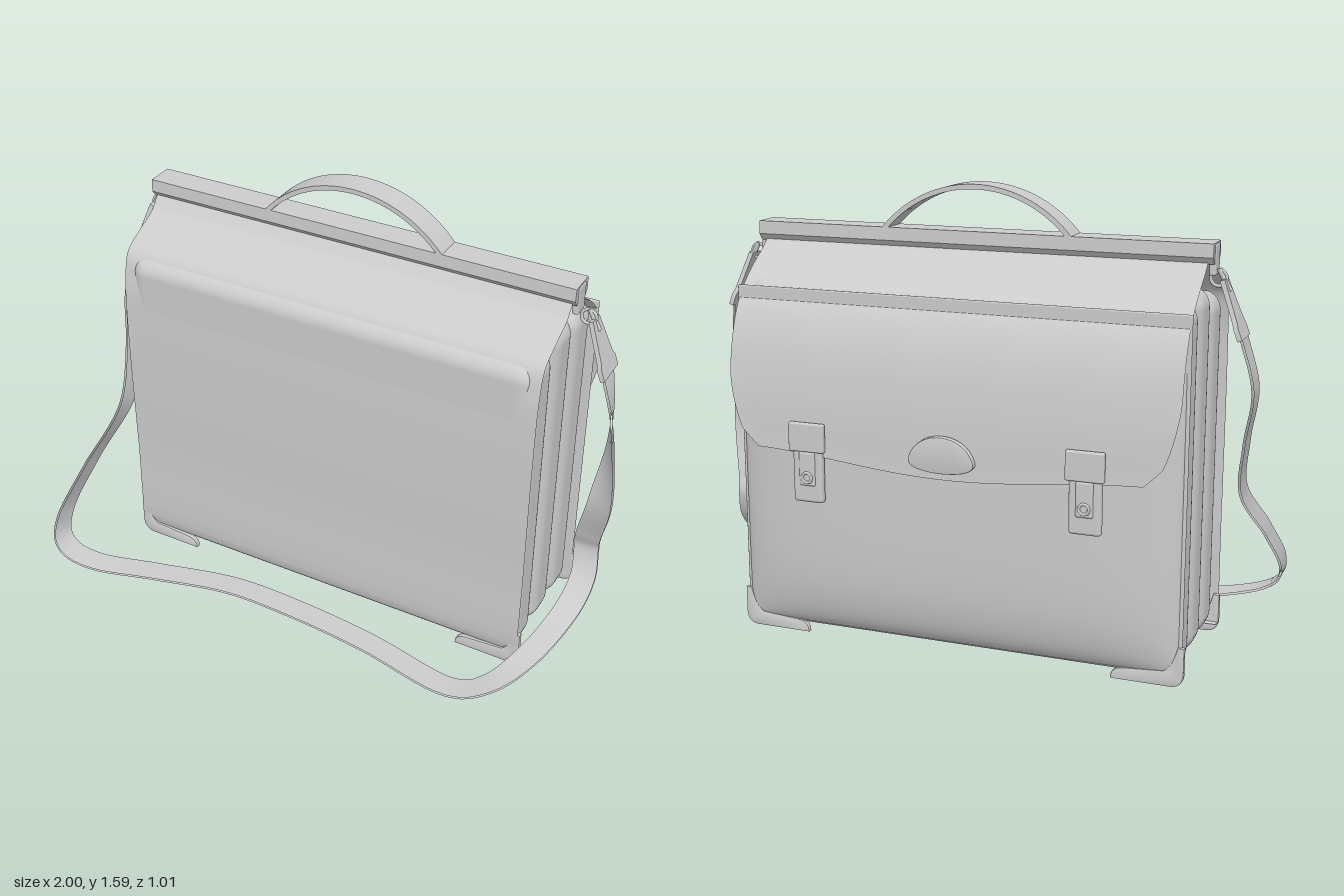
import * as THREE from 'three';
import { toCreasedNormals } from 'three/addons/utils/BufferGeometryUtils.js';
import { RoundedBoxGeometry } from 'three/addons/geometries/RoundedBoxGeometry.js';
import { ParametricGeometry } from 'three/addons/geometries/ParametricGeometry.js';

const V = (x, y, z) => new THREE.Vector3(x, y, z);

export function createModel() {
  const model = new THREE.Group();
  const mat = new THREE.MeshStandardMaterial({ color: 0xcccccc });
  const sheetMat = new THREE.MeshStandardMaterial({ color: 0xcccccc, side: THREE.DoubleSide });
  const caseGroup = new THREE.Group();
  caseGroup.name = 'case';
  caseGroup.position.x = -0.012;
  model.add(caseGroup);

  const add = (name, geo, x = 0, y = 0, z = 0, parent = caseGroup) => {
    const m = new THREE.Mesh(geo, mat);
    m.name = name;
    m.position.set(x, y, z);
    parent.add(m);
    return m;
  };
  // Thin surface from a rule (u, v) -> [x, y, z]
  const sheet = (name, rule, nu, nv, parent = caseGroup) => {
    const g = new ParametricGeometry((u, v, t) => t.set(...rule(u, v)), nu, nv);
    add(name, g, 0, 0, 0, parent).material = sheetMat;
  };
  const profile = (pts) => new THREE.CatmullRomCurve3(pts.map(([z, y]) => V(0, y, z)), false, 'centripetal');
  const extrude = (shape, depth, bevel = 0) => toCreasedNormals(new THREE.ExtrudeGeometry(shape, {
    depth, curveSegments: 24, bevelEnabled: bevel > 0,
    bevelSize: bevel, bevelThickness: bevel, bevelSegments: 2,
  }), 0.6);

  // Accordion compartments
  [[0.045, 1.235], [-0.12, 1.275], [-0.285, 1.255]].forEach(([z, top]) =>
    add('compartment', new RoundedBoxGeometry(1.56, top - 0.03, 0.185, 5, 0.065), 0, (top + 0.03) / 2, z));

  // Plain front panel running up to the top bar
  const front = profile([[0.115, 0.03], [0.137, 0.06], [0.14, 0.4], [0.14, 0.95], [0.128, 1.14],
    [0.1, 1.235], [0.02, 1.285], [-0.06, 1.325], [-0.1, 1.37]]);
  sheet('frontPanel', (u, v) => {
    const p = front.getPoint(v);
    return [(u - 0.5) * 1.595, p.y, p.z];
  }, 2, 48);

  // Back panel with padded pocket
  add('backPanel', new RoundedBoxGeometry(1.59, 1.2, 0.012, 2, 0.005), 0, 0.635, -0.378);
  const swell = (t) => Math.pow(Math.max(0, 1 - t ** 4), 0.6);
  sheet('backPocket', (u, v) => {
    const a = Math.sin((u - 0.5) * Math.PI), b = Math.sin((v - 0.5) * Math.PI);
    return [a * 0.785, 0.57 + b * 0.53, -0.38 - 0.09 * swell(a) * swell(b)];
  }, 40, 32);

  // Flap, tapered with a dipping lower edge
  const flap = profile([[-0.17, 1.375], [-0.2, 1.345], [-0.3, 1.275], [-0.385, 1.19], [-0.44, 1.07],
    [-0.472, 0.9], [-0.485, 0.7]]);
  sheet('flap', (u, v) => {
    const p = flap.getPoint(v), s = 2 * u - 1;
    const low = Math.max(0, (v - 0.75) / 0.25);
    const dip = 0.05 * (0.5 + 0.5 * Math.cos(Math.PI * s)) - 0.06 * Math.max(0, Math.abs(s) - 0.92) / 0.08;
    return [s * (0.79 - 0.05 * low * low), p.y - low * dip, p.z];
  }, 48, 40);

  // Clasps
  for (const x of [-0.49, 0.49]) {
    const clasp = new THREE.Group();
    clasp.name = 'clasp';
    clasp.position.x = x;
    caseGroup.add(clasp);
    add('claspPlate', new RoundedBoxGeometry(0.11, 0.22, 0.03, 3, 0.012), 0, 0.63, -0.48, clasp);
    add('claspTongue', new RoundedBoxGeometry(0.13, 0.1, 0.022, 2, 0.006), 0, 0.75, -0.493, clasp);
    add('claspLatch', new RoundedBoxGeometry(0.06, 0.12, 0.02, 3, 0.008), 0, 0.64, -0.49, clasp);
    add('lockRing', new THREE.TorusGeometry(0.017, 0.005, 8, 20), 0, 0.61, -0.5, clasp);
  }

  // Half-oval badge on the flap
  const badge = new THREE.Shape();
  badge.moveTo(-0.11, 0.02);
  badge.bezierCurveTo(-0.08, 0.12, 0.08, 0.12, 0.11, 0.02);
  badge.bezierCurveTo(0.12, -0.01, 0.05, -0.02, 0, -0.02);
  badge.bezierCurveTo(-0.05, -0.02, -0.12, -0.01, -0.11, 0.02);
  add('badge', extrude(badge, 0.015, 0.005), 0, 0.7, -0.5);

  // Corner guards
  const guard = new THREE.Shape();
  guard.moveTo(0.56, 0.004);
  guard.lineTo(0.755, 0.004);
  guard.quadraticCurveTo(0.8, 0.004, 0.8, 0.05);
  guard.lineTo(0.8, 0.135);
  guard.lineTo(0.785, 0.135);
  guard.quadraticCurveTo(0.765, 0.06, 0.735, 0.05);
  guard.lineTo(0.6, 0.04);
  guard.quadraticCurveTo(0.56, 0.035, 0.56, 0.004);
  for (const z of [0.126, -0.388]) for (const flip of [false, true]) {
    const g = add('cornerGuard', extrude(guard, 0.012, 0.004), 0, 0, z + (flip ? 0.012 : 0));
    if (flip) g.rotation.y = Math.PI;
  }

  // Top bar with end caps
  const bar = new THREE.Shape([[-0.05, 1.43], [-0.052, 1.385], [-0.035, 1.362], [0.035, 1.362], [0.052, 1.385], [0.05, 1.43]]
    .map(([a, b]) => new THREE.Vector2(a, b)));
  const barMesh = add('topBar', extrude(bar, 1.62), -0.81, 0, -0.14);
  barMesh.rotation.y = Math.PI / 2;
  for (const s of [-1, 1]) add('barEnd', new RoundedBoxGeometry(0.022, 0.1, 0.06, 2, 0.006), s * 0.803, 1.375, -0.14);

  // Arched carrying handle
  const R = 0.441, cy = 1.146, a = 0.69;
  const arch = new THREE.Shape();
  arch.absarc(0, cy, R, a, Math.PI - a, false);
  arch.absarc(0, cy, R - 0.017, Math.PI - a, a, true);
  add('handle', extrude(arch, 0.1), 0, 0, -0.19);

  // Strap clips: hook ring and leather tab on each end
  const tab = new THREE.Shape([[-0.028, 0.2], [0.028, 0.2], [0.05, 0.06], [0.062, 0.04], [0.062, 0], [-0.062, 0], [-0.062, 0.04], [-0.05, 0.06]]
    .map(([p, q]) => new THREE.Vector2(p, q)));
  for (const s of [-1, 1]) {
    const clip = new THREE.Group();
    clip.name = 'strapClip';
    model.add(clip);
    add('hookRing', new THREE.TorusGeometry(0.026, 0.006, 8, 20), s * 0.83, 1.315, -0.14, clip);
    const pin = add('swivelPin', new THREE.CylinderGeometry(0.009, 0.009, 0.08, 10), s * 0.85, 1.31, -0.14, clip);
    pin.rotation.z = s * 0.5;
    const holder = new THREE.Group();
    holder.name = 'strapTab';
    holder.position.set(s * 0.918, 1.125, -0.14);
    holder.rotation.z = s * 0.36;
    clip.add(holder);
    add('tab', extrude(tab, 0.016), -0.008, 0, 0, holder).rotation.y = Math.PI / 2;
  }

  // Shoulder strap: centre x, y, z and the direction of its width (x, z)
  const path = [
    [0.91, 1.14, -0.14, 0, 1], [0.955, 1.0, -0.1, 0.3, 1], [0.975, 0.85, -0.065, 0.6, 0.8],
    [0.962, 0.65, -0.06, 1, 0.2], [0.92, 0.47, -0.11, 1, 0], [0.912, 0.39, -0.13, 1, 0],
    [0.922, 0.29, -0.09, 1, 0], [0.905, 0.2, 0.01, 1, 0], [0.85, 0.12, 0.19, 1, 0.3],
    [0.76, 0.06, 0.335, 0.5, 0.85], [0.62, 0.03, 0.385, 0.05, 1], [0.3, 0.04, 0.335, 0, 1],
    [0, 0.045, 0.31, 0, 1], [-0.3, 0.045, 0.31, 0, 1], [-0.6, 0.035, 0.37, 0, 1],
    [-0.83, 0.05, 0.445, 0, 1], [-0.955, 0.1, 0.455, 0, 1], [-0.985, 0.2, 0.4, 0, 1],
    [-0.95, 0.36, 0.26, 0, 1], [-0.895, 0.55, 0.08, 0, 1], [-0.92, 0.75, -0.03, 0, 1],
    [-0.955, 0.95, -0.1, 0, 1], [-0.915, 1.14, -0.14, 0, 1],
  ];
  const centre = new THREE.CatmullRomCurve3(path.map(([x, y, z]) => V(x, y, z)), false, 'catmullrom', 0.5);
  const across = new THREE.CatmullRomCurve3(path.map((p) => V(p[3], 0, p[4])), false, 'catmullrom', 0.5);
  const strapSide = (offset) => (u, v) => {
    const p = centre.getPoint(u), t = centre.getTangent(u), w = across.getPoint(u);
    w.addScaledVector(t, -w.dot(t)).normalize();
    p.addScaledVector(w, (v - 0.5) * 0.09).addScaledVector(t.cross(w), offset);
    return [p.x, p.y, p.z];
  };
  for (const o of [-0.004, 0.004]) sheet('shoulderStrap', strapSide(o), 160, 2, model);

  return model;
}
